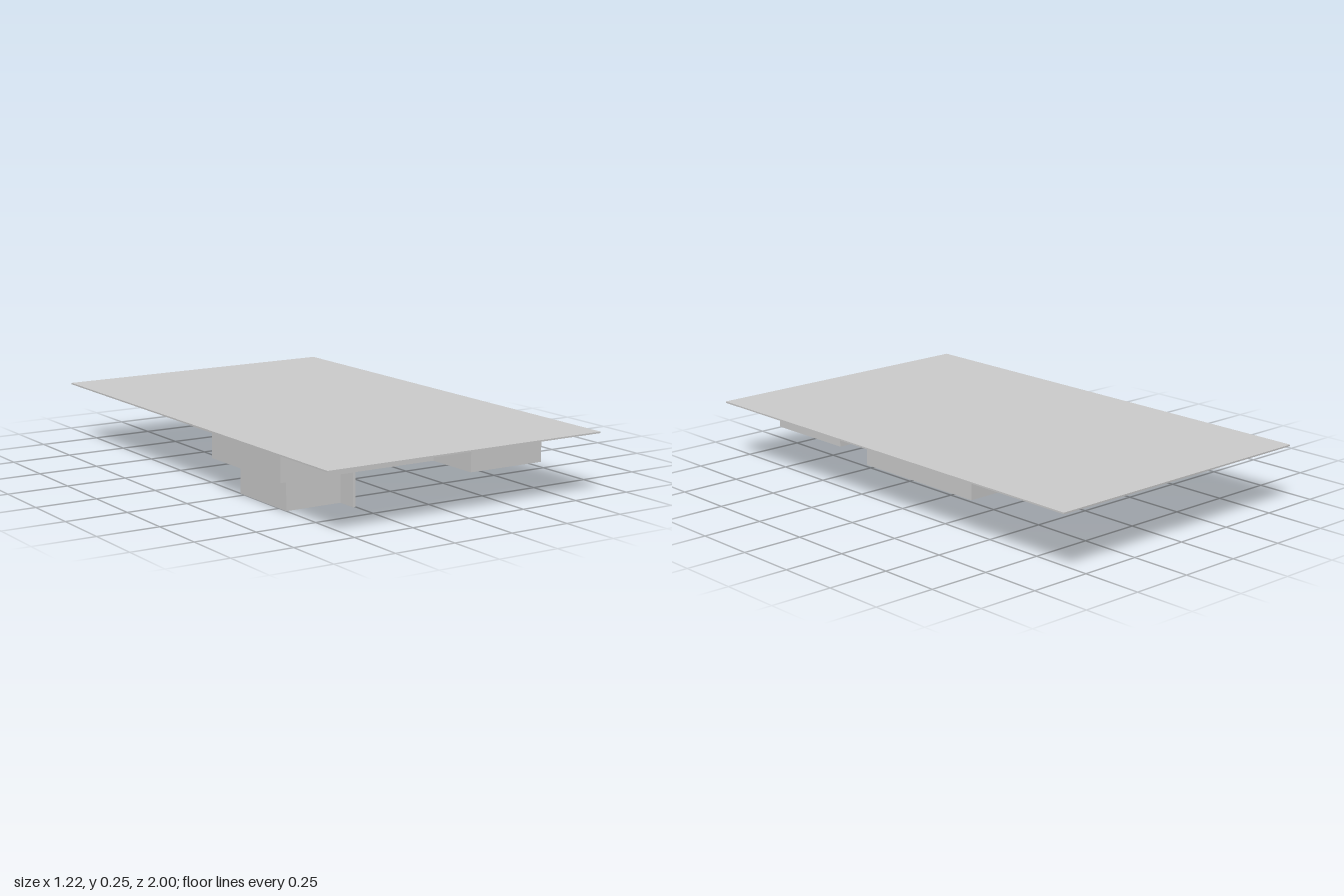
import * as THREE from 'three';

const material = new THREE.MeshStandardMaterial({ color: 0xcccccc, flatShading: true });

// Closed path from [x, z] plan points
const trace = (path, points) => {
  points.forEach(([x, z], i) => (i ? path.lineTo(x, z) : path.moveTo(x, z)));
  path.closePath();
  return path;
};

const rectangle = (x0, x1, z0, z1) => [[x0, z0], [x1, z0], [x1, z1], [x0, z1]];

// Vertical prism over a plan outline, between two heights
function prism(name, outline, bottom, top, holes = []) {
  const shape = trace(new THREE.Shape(), outline);
  holes.forEach((h) => shape.holes.push(trace(new THREE.Path(), rectangle(...h))));
  const geometry = new THREE.ExtrudeGeometry(shape, { depth: top - bottom, bevelEnabled: false });
  geometry.rotateX(Math.PI / 2).translate(0, top, 0);
  const mesh = new THREE.Mesh(geometry, material);
  mesh.name = name;
  return mesh;
}

export function createModel() {
  const group = new THREE.Group();
  group.name = 'layeredPlan';

  // Thin plate on top
  group.add(prism('topPlate', rectangle(-0.612, 0.612, -1, 1), 0.246, 0.252));

  // Middle storey: stepped outline with three openings
  const outline = [
    [0.51, -0.41], [0.51, 0.2], [0.35, 0.2], [0.35, 0.47], [0.43, 0.47], [0.43, 0.875],
    [0.1, 0.875], [0.1, 0.64], [-0.58, 0.64], [-0.58, 0.145], [-0.35, 0.145], [-0.35, -0.41],
    [-0.18, -0.41], [-0.18, -0.575], [0.02, -0.575], [0.02, -0.61], [0.06, -0.61],
    [0.06, -0.575], [0.265, -0.575], [0.265, -0.41],
  ];
  const openings = [
    [0.19, 0.33, 0.65, 0.8],
    [0.115, 0.17, 0.07, 0.46],
    [-0.16, 0.1, -0.34, -0.02],
  ];
  group.add(prism('middleStorey', outline, 0.134, 0.24, openings));

  // Shallow pad under the middle storey
  group.add(prism('shallowPad', rectangle(-0.02, 0.09, -0.48, -0.41), 0.131, 0.136));

  // Lower block with a thin wall running past its front
  const block = [
    [-0.5, 0.22], [-0.252, 0.22], [-0.252, 0.635], [-0.262, 0.635], [-0.262, 0.55], [-0.5, 0.55],
  ];
  group.add(prism('lowerBlock', block, 0, 0.134));

  return group;
}
